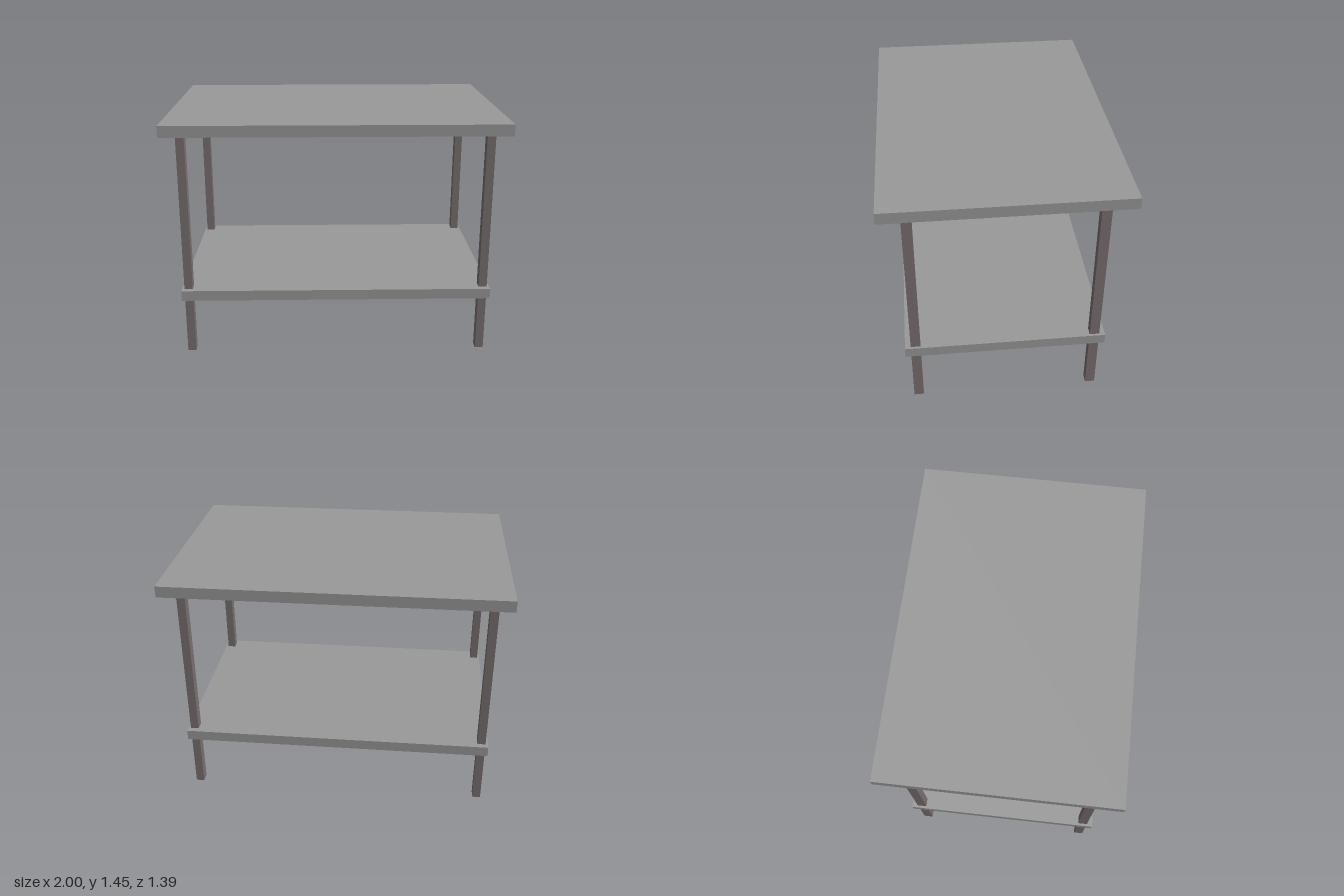
import * as THREE from 'three';

export function createModel() {
  const table = new THREE.Group();
  table.name = 'table';

  const boardGrey = new THREE.MeshStandardMaterial({ color: 0x999999 });
  boardGrey.name = 'boardGrey';
  const legBrown = new THREE.MeshStandardMaterial({ color: 0x796f70 });
  legBrown.name = 'legBrown';

  // Adds a box whose underside sits at height y
  function addBox(name, material, [w, h, d], [x, y, z]) {
    const mesh = new THREE.Mesh(new THREE.BoxGeometry(w, h, d), material);
    mesh.name = name;
    mesh.position.set(x, y + h / 2, z);
    table.add(mesh);
  }

  // Top and lower shelf
  addBox('tableTop', boardGrey, [2, 0.067, 1.387], [0, 1.387, 0]);
  addBox('lowerShelf', boardGrey, [1.88, 0.063, 1.2], [0, 0.352, 0]);

  // Four legs, passing through the shelf up to the top
  for (const [side, x] of [['Left', 0.9], ['Right', -0.9]]) {
    for (const [end, z] of [['front', 0.537], ['back', -0.537]]) {
      addBox(`${end}${side}Leg`, legBrown, [0.05, 1.387, 0.058], [x, 0, z]);
    }
  }

  return table;
}
